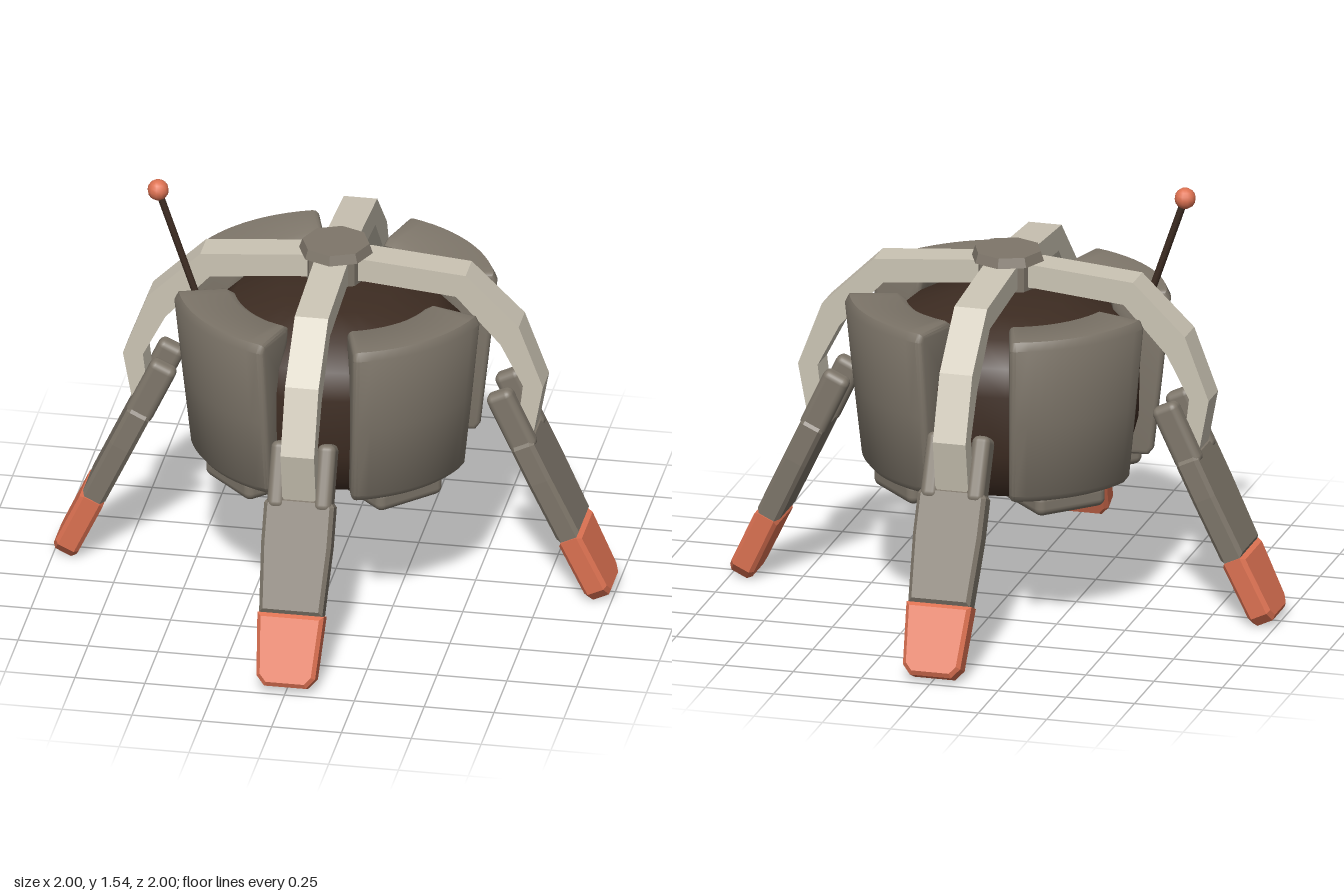
import * as THREE from 'three';
import { toCreasedNormals } from 'three/addons/utils/BufferGeometryUtils.js';
import { RoundedBoxGeometry } from 'three/addons/geometries/RoundedBoxGeometry.js';

const mat = (name, color) => {
  const m = new THREE.MeshStandardMaterial({ color });
  m.name = name;
  return m;
};

const shapeOf = (pts) => new THREE.Shape(pts.map(([x, y]) => new THREE.Vector2(x, y)));

function add(parent, name, geometry, material, x = 0, y = 0, z = 0) {
  const mesh = new THREE.Mesh(geometry, material);
  mesh.name = name;
  mesh.position.set(x, y, z);
  parent.add(mesh);
  return mesh;
}

// Slab drawn in x/y, centred on z, with chamfered rims
function slab(pts, depth, bevel = 0) {
  const g = new THREE.ExtrudeGeometry(shapeOf(pts), {
    depth: depth - 2 * bevel, bevelEnabled: bevel > 0, bevelSize: bevel,
    bevelThickness: bevel, bevelOffset: -bevel, bevelSegments: 1,
  });
  return g.translate(0, 0, -depth / 2 + bevel);
}

// Thick curved shell: a radial profile swept through an arc with rounded ends
function shellPanel() {
  const profile = [
    [0.42, 0.53], [0.495, 0.525], [0.515, 0.55], [0.545, 0.82], [0.575, 1.11],
    [0.56, 1.14], [0.39, 1.14], [0.36, 1.12], [0.37, 1.06], [0.43, 0.98],
  ];
  const R = 0.5, span = THREE.MathUtils.degToRad(57), bevel = 0.02;
  const g = new THREE.ExtrudeGeometry(shapeOf(profile), {
    depth: R * span - 2 * bevel, steps: 12, bevelSize: bevel, bevelThickness: bevel,
    bevelOffset: -bevel, bevelSegments: 3,
  });
  const p = g.attributes.position;
  for (let i = 0; i < p.count; i++) {
    const r = p.getX(i);
    const a = Math.PI / 4 - span / 2 + (p.getZ(i) + bevel) / R;
    p.setXYZ(i, r * Math.cos(a), p.getY(i), r * Math.sin(a));
  }
  return toCreasedNormals(g, 0.6);
}

export function createModel() {
  const model = new THREE.Group();
  model.name = 'walkerPod';
  const grey = mat('warm grey', 0x7e766a);
  const pale = mat('pale stone', 0xcbc4b4);
  const dark = mat('dark brown', 0x3d2c22);
  const coral = mat('coral', 0xdf7353);

  // Dark rounded core
  const core = [[0, 0.5], [0.36, 0.5], [0.43, 0.57], [0.46, 0.68], [0.465, 0.9],
    [0.44, 1.0], [0.36, 1.08], [0.2, 1.115], [0, 1.125]];
  add(model, 'core', toCreasedNormals(
    new THREE.LatheGeometry(core.map(([x, y]) => new THREE.Vector2(x, y)), 24), 0.6), dark);

  // Octagonal hub on top
  add(model, 'hubStem', new THREE.CylinderGeometry(0.115, 0.115, 0.1, 8).toNonIndexed(), grey, 0, 1.22, 0)
    .geometry.computeVertexNormals();
  const cap = new THREE.CylinderGeometry(0.12, 0.132, 0.035, 8).toNonIndexed();
  cap.computeVertexNormals();
  add(model, 'hubCap', cap, grey, 0, 1.2825, 0);

  const panelGeo = shellPanel();
  const padGeo = new RoundedBoxGeometry(0.28, 0.085, 0.28, 3, 0.03);
  const armGeo = slab([
    [0, 1.265], [0, 1.185], [0.12, 1.18], [0.44, 1.15], [0.6, 0.975], [0.68, 0.82],
    [0.66, 0.65], [0.715, 0.62], [0.752, 0.82], [0.665, 1.05], [0.475, 1.235], [0.12, 1.265],
  ], 0.12);

  // Leg pieces, standing along local y with the outer face towards +z
  const shinGeo = slab([[-0.113, 0.257], [0.113, 0.257], [0.125, 0.5], [0.125, 0.645],
    [0.105, 0.67], [-0.105, 0.67], [-0.125, 0.645], [-0.125, 0.5]], 0.088, 0.014);
  const footGeo = slab([[-0.075, 0], [0.075, 0], [0.105, 0.035], [0.119, 0.258],
    [-0.119, 0.258], [-0.105, 0.035]], 0.09, 0.014);
  const prongGeo = new RoundedBoxGeometry(0.066, 0.24, 0.1, 3, 0.025);

  for (let i = 0; i < 4; i++) {
    const quarter = new THREE.Group();
    quarter.name = 'quarter' + (i + 1);
    quarter.rotation.y = (i * Math.PI) / 2;
    model.add(quarter);

    add(quarter, 'shellPanel', panelGeo, grey);
    add(quarter, 'undersidePad', padGeo, grey, 0.235, 0.5, 0.235).rotation.y = Math.PI / 4;
    add(quarter, 'archArm', armGeo, pale);

    const leg = new THREE.Group();
    leg.name = 'leg';
    leg.position.set(0, 0.02, 0.963);
    leg.rotation.x = -0.44;
    quarter.add(leg);
    add(leg, 'shin', shinGeo, grey);
    add(leg, 'foot', footGeo, coral);
    for (const s of [-1, 1]) add(leg, 'hipProng', prongGeo, grey, s * 0.083, 0.745, 0);
  }

  // Antenna leaning outwards on the right side
  const base = new THREE.Vector3(-0.44, 1.0, 0.125);
  const tip = new THREE.Vector3(-0.615, 1.505, 0.118);
  const rod = add(model, 'antennaRod',
    new THREE.CylinderGeometry(0.013, 0.013, base.distanceTo(tip), 8), dark);
  rod.position.copy(base).lerp(tip, 0.5);
  rod.quaternion.setFromUnitVectors(new THREE.Vector3(0, 1, 0), tip.clone().sub(base).normalize());
  add(model, 'antennaTip', new THREE.SphereGeometry(0.038, 12, 8), coral, tip.x, tip.y, tip.z);

  return model;
}
